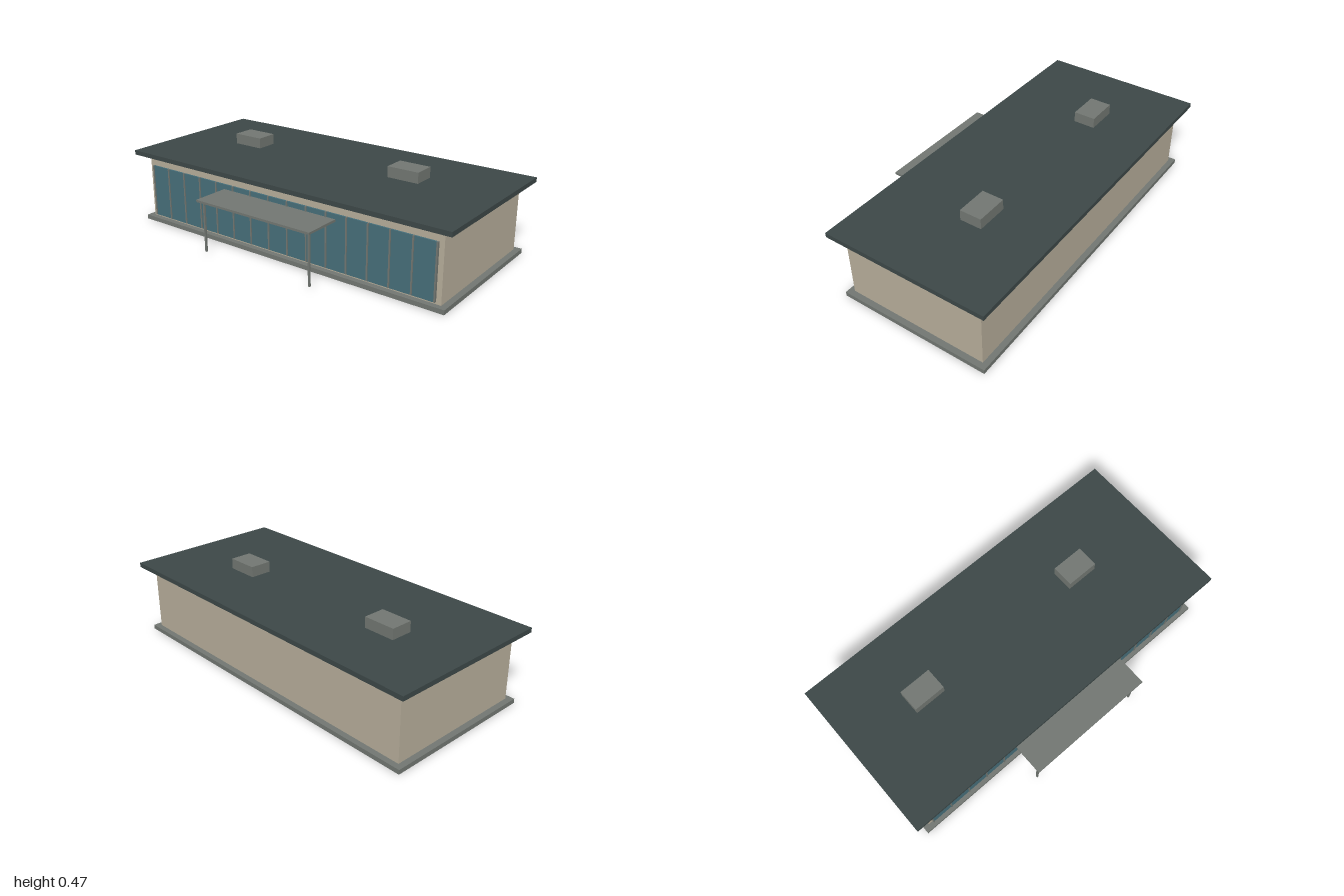
import * as THREE from 'three';

function material(name, color) {
  const m = new THREE.MeshStandardMaterial({ color });
  m.name = name;
  return m;
}

export function createModel() {
  const model = new THREE.Group();
  model.name = 'pavilion';

  const wall = material('sand wall', 0xb5ac99);
  const roof = material('slate roof', 0x3c4747);
  const grey = material('concrete grey', 0x717671);
  const glass = material('teal glass', 0x466e79);

  // Box given by its extents along each axis
  function box(name, mat, [x0, x1], [y0, y1], [z0, z1]) {
    const mesh = new THREE.Mesh(new THREE.BoxGeometry(x1 - x0, y1 - y0, z1 - z0), mat);
    mesh.position.set((x0 + x1) / 2, (y0 + y1) / 2, (z0 + z1) / 2);
    mesh.name = name;
    model.add(mesh);
    return mesh;
  }

  // Main volumes
  box('baseSlab', grey, [-0.97, 0.97], [0, 0.024], [-0.5, 0.346]);
  box('walls', wall, [-0.938, 0.938], [0.024, 0.391], [-0.469, 0.316]);
  box('roofSlab', roof, [-1, 1], [0.391, 0.416], [-0.531, 0.376]);

  // Glazed front with evenly spaced mullions
  box('glazing', glass, [-0.906, 0.906], [0.034, 0.33], [0.316, 0.325]);
  const bays = 15;
  for (let i = 0; i <= bays; i++) {
    const x = -0.908 + (1.816 * i) / bays;
    box('mullion', grey, [x - 0.004, x + 0.004], [0.036, 0.331], [0.317, 0.33]);
  }

  // Entrance canopy on two slim posts
  box('canopy', grey, [-0.364, 0.359], [0.292, 0.304], [0.316, 0.532]);
  for (const x of [-0.341, 0.336]) {
    box('canopyPost', grey, [x - 0.005, x + 0.005], [0.013, 0.293], [0.495, 0.505]);
  }

  // Rooftop units
  for (const x of [-0.549, 0.482]) {
    box('roofUnit', grey, [x - 0.089, x + 0.089], [0.415, 0.474], [-0.198, -0.077]);
  }

  return model;
}
